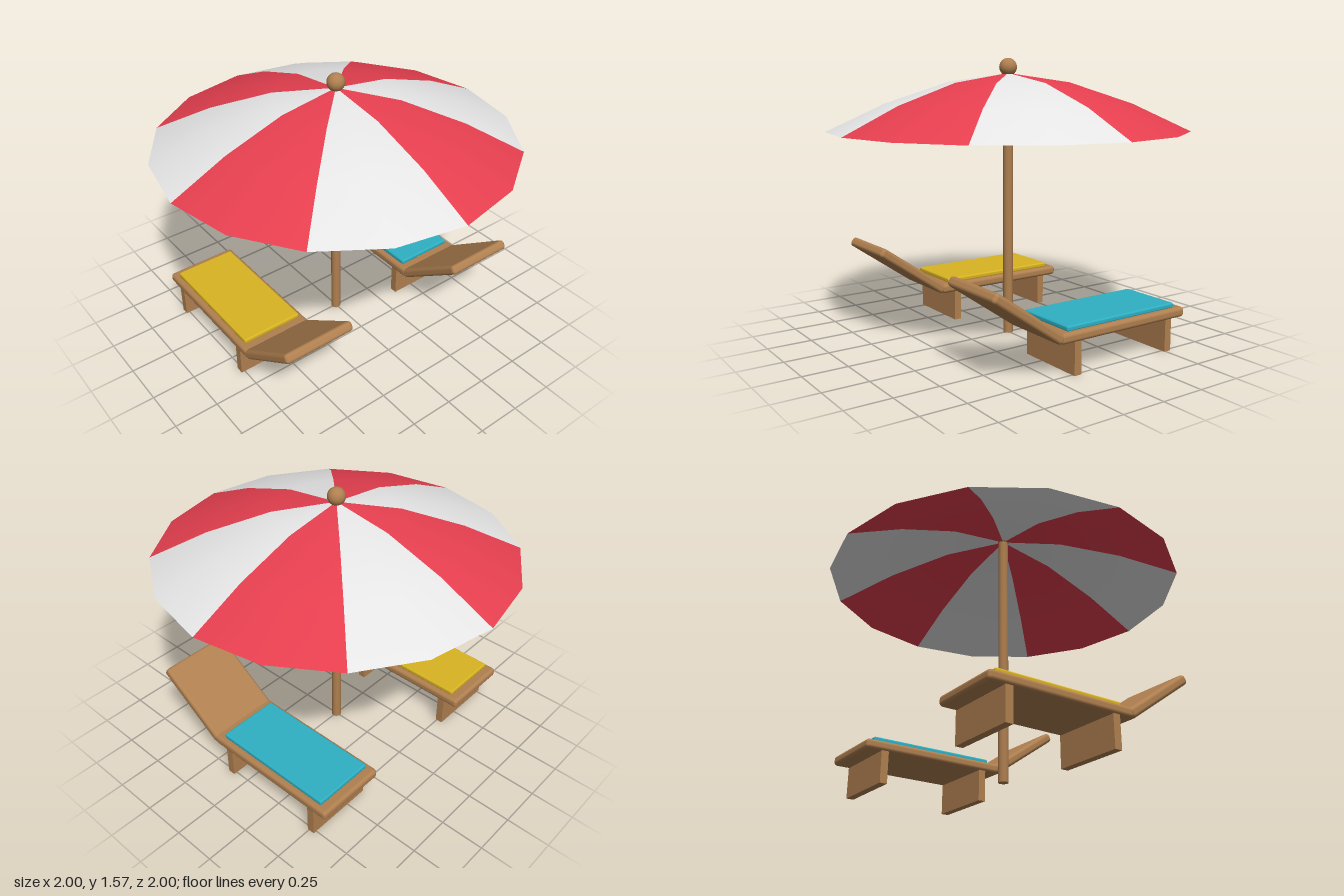
import * as THREE from 'three';
import { RoundedBoxGeometry } from 'three/addons/geometries/RoundedBoxGeometry.js';

const paint = (name, color, side = THREE.FrontSide) => {
  const m = new THREE.MeshStandardMaterial({ color, side });
  m.name = name;
  return m;
};

export function createModel() {
  const wood = paint('wood', 0xb08050);
  const red = paint('red canvas', 0xe63f4f, THREE.DoubleSide);
  const white = paint('white canvas', 0xe6e6e6, THREE.DoubleSide);
  const teal = paint('teal towel', 0x2eb0c4);
  const yellow = paint('yellow towel', 0xd9b422);

  const model = new THREE.Group();
  model.name = 'beachSet';

  const add = (parent, name, geometry, material, x, y, z) => {
    const mesh = new THREE.Mesh(geometry, material);
    mesh.name = name;
    mesh.position.set(x, y, z);
    parent.add(mesh);
    return mesh;
  };

  // Parasol: pole, finial and eight canopy panels
  const parasol = new THREE.Group();
  parasol.name = 'parasol';
  model.add(parasol);
  add(parasol, 'pole', new THREE.CylinderGeometry(0.028, 0.028, 1.48, 12), wood, 0, 0.74, 0);
  add(parasol, 'finial', new THREE.SphereGeometry(0.05, 16, 12), wood, 0, 1.518, 0);

  const profile = [[1, 1.175], [0.684, 1.322], [0.342, 1.435], [0, 1.485]]
    .map(([r, y]) => new THREE.Vector2(r, y));
  for (let i = 0; i < 8; i++) {
    const panel = new THREE.LatheGeometry(profile, 2, i * Math.PI / 4, Math.PI / 4);
    add(parasol, `canopyPanel${i + 1}`, panel, i % 2 ? white : red, 0, 0, 0);
  }

  // Loungers: one on each side of the pole, backrests towards the front
  const addLounger = (name, x, towelMaterial) => {
    const lounger = new THREE.Group();
    lounger.name = name;
    lounger.position.x = x;
    model.add(lounger);
    add(lounger, 'bed', new RoundedBoxGeometry(0.42, 0.055, 0.85, 3, 0.02), wood, 0, 0.203, -0.202);
    const back = add(lounger, 'backrest', new RoundedBoxGeometry(0.42, 0.055, 0.5, 3, 0.02), wood, 0, 0.338, 0.41);
    back.rotation.x = -0.61;
    for (const [leg, z] of [['frontLeg', 0.113], ['rearLeg', -0.513]]) {
      add(lounger, leg, new THREE.BoxGeometry(0.4, 0.185, 0.043), wood, 0, 0.0925, z);
    }
    add(lounger, 'towel', new RoundedBoxGeometry(0.36, 0.03, 0.738, 2, 0.01), towelMaterial, 0, 0.241, -0.203);
  };
  addLounger('leftLounger', 0.57, teal);
  addLounger('rightLounger', -0.57, yellow);

  return model;
}
